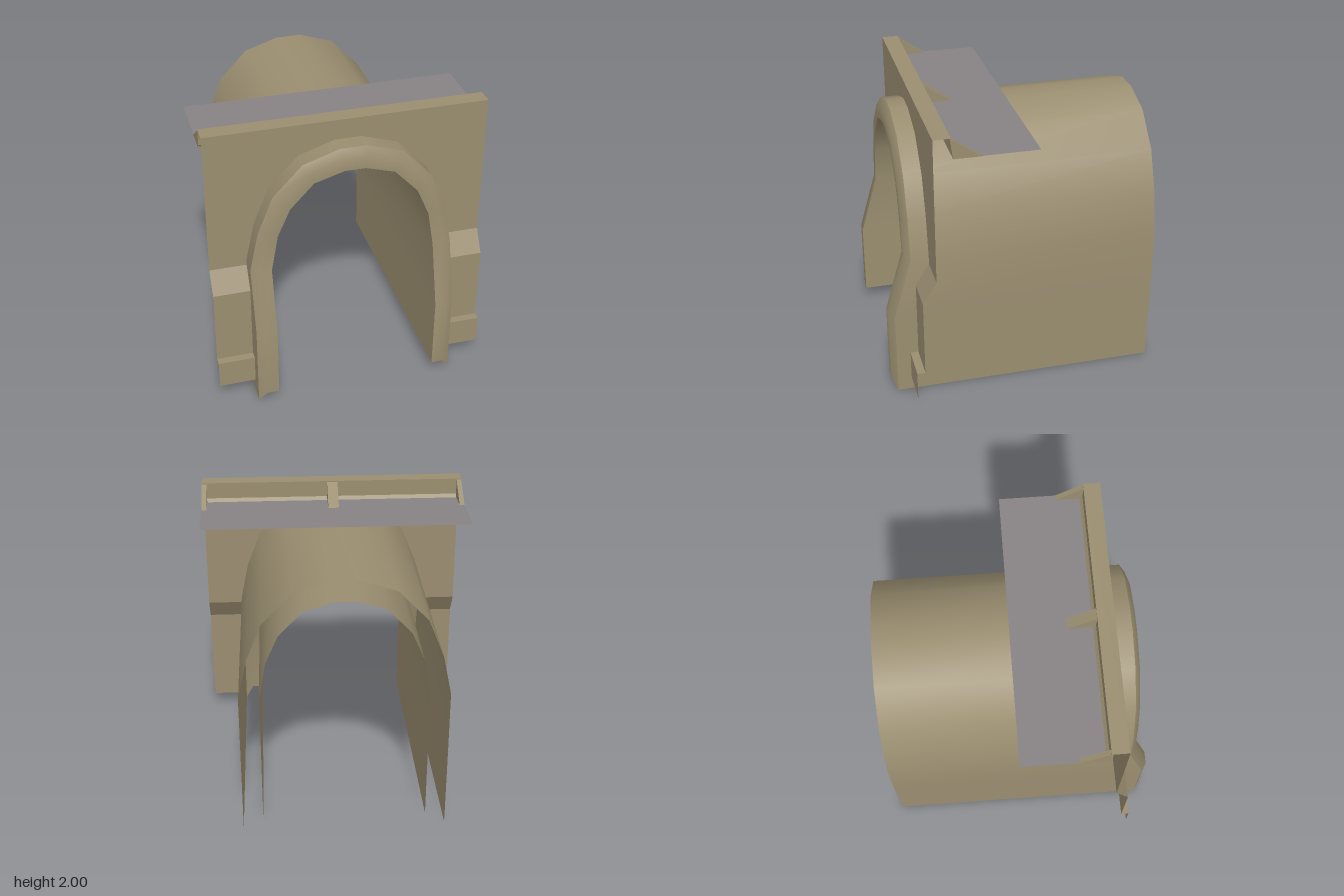
import * as THREE from 'three';
import { toCreasedNormals } from 'three/addons/utils/BufferGeometryUtils.js';

// Open sheet stretched over rows of points
function sheet(rows, crease) {
  const positions = [], index = [];
  const n = rows[0].length;
  rows.forEach(row => row.forEach(p => positions.push(...p)));
  for (let i = 0; i < rows.length - 1; i++) {
    for (let j = 0; j < n - 1; j++) {
      const a = i * n + j, b = a + n;
      index.push(a, b, a + 1, b, b + 1, a + 1);
    }
  }
  const g = new THREE.BufferGeometry();
  g.setAttribute('position', new THREE.Float32BufferAttribute(positions, 3));
  g.setIndex(index);
  return toCreasedNormals(g, crease);
}

// Sheet made by sweeping a [z, y] profile from x0 to x1
const sweepX = (profile, x0, x1) =>
  sheet([x0, x1].map(x => profile.map(([z, y]) => [x, y, z])), 0.1);

export function createModel() {
  const concrete = new THREE.MeshStandardMaterial({ color: 0x9a8e70, side: THREE.DoubleSide });
  concrete.name = 'tan concrete';
  const slate = new THREE.MeshStandardMaterial({ color: 0x878283, side: THREE.DoubleSide });
  slate.name = 'grey slab';

  const model = new THREE.Group();
  model.name = 'tunnelPortal';
  const add = (geometry, material, name) => {
    const mesh = new THREE.Mesh(geometry, material);
    mesh.name = name;
    model.add(mesh);
  };

  // Right half of the arch from floor to crown: outer and inner outline
  const outerHalf = [[0.697, 0], [0.697, 0.6], [0.697, 1.03], [0.64, 1.305],
    [0.535, 1.57], [0.335, 1.78], [0.09, 1.86]];
  const innerHalf = [[0.56, 0.08], [0.56, 0.6], [0.56, 1.03], [0.515, 1.29],
    [0.43, 1.485], [0.27, 1.655], [0.07, 1.715]];
  const mirrored = half => [...half, ...half.map(([x, y]) => [-x, y]).reverse()];
  const outer = mirrored(outerHalf), inner = mirrored(innerHalf);

  // Tunnel: outer shell, chamfered portal rim and inner lining in one hollow sheet
  const rows = outer.map(([ox, oy], i) => {
    const [ix, iy] = inner[i];
    const mx = ox + (ix - ox) * 0.4;
    const my = oy === 0 ? 0.08 : oy + (iy - oy) * 0.4;
    const front = oy <= 0.6 ? 0.938 : 0.815;
    const back = oy <= 0 ? -0.925 : -0.935;
    return [[ox, oy, back], [ox, oy, front - 0.037], [mx, my, front],
      [ix, iy, front], [ix, iy, back]];
  });
  add(sheet(rows, 0.8), concrete, 'tunnel');

  // Front wall with the arch cut out
  const wall = new THREE.Shape();
  wall.moveTo(0.95, 0.99);
  wall.lineTo(0.95, 2);
  wall.lineTo(-0.95, 2);
  wall.lineTo(-0.95, 0.99);
  wall.lineTo(-0.697, 0.99);
  outer.slice(2, -2).reverse().forEach(([x, y]) => wall.lineTo(x, y));
  wall.lineTo(0.697, 0.99);
  const wallGeometry = new THREE.ShapeGeometry(wall);
  wallGeometry.translate(0, 0, 0.656);
  add(wallGeometry, concrete, 'frontWall');

  // Stepped buttress and footing on either side of the arch
  const buttress = [[0.656, 0.99], [0.75, 0.84], [0.75, 0.3], [0.805, 0.3], [0.805, 0.1]];
  add(sweepX(buttress, 0.697, 0.95), concrete, 'leftButtress');
  add(sweepX(buttress, -0.95, -0.697), concrete, 'rightButtress');

  // Parapet top and back
  add(sweepX([[0.52, 1.86], [0.54, 1.885], [0.54, 2], [0.656, 2]], -0.95, 0.95),
    concrete, 'parapet');

  // Slab behind the parapet
  add(sweepX([[-0.03, 1.862], [0.52, 1.862]], -0.95, 0.95), slate, 'roofSlab');

  // Triangular braces between parapet and slab
  [[-0.95, -0.915], [-0.038, 0.038], [0.915, 0.95]].forEach(([x0, x1], i) => {
    const triangle = new THREE.Shape([[0.35, 1.86], [0.53, 1.86], [0.55, 1.998]]
      .map(([z, y]) => new THREE.Vector2(-z, y)));
    const brace = new THREE.ExtrudeGeometry(triangle, { depth: x1 - x0, bevelEnabled: false });
    brace.rotateY(Math.PI / 2);
    brace.translate(x0, 0, 0);
    add(brace, concrete, ['rightBrace', 'middleBrace', 'leftBrace'][i]);
  });

  return model;
}
